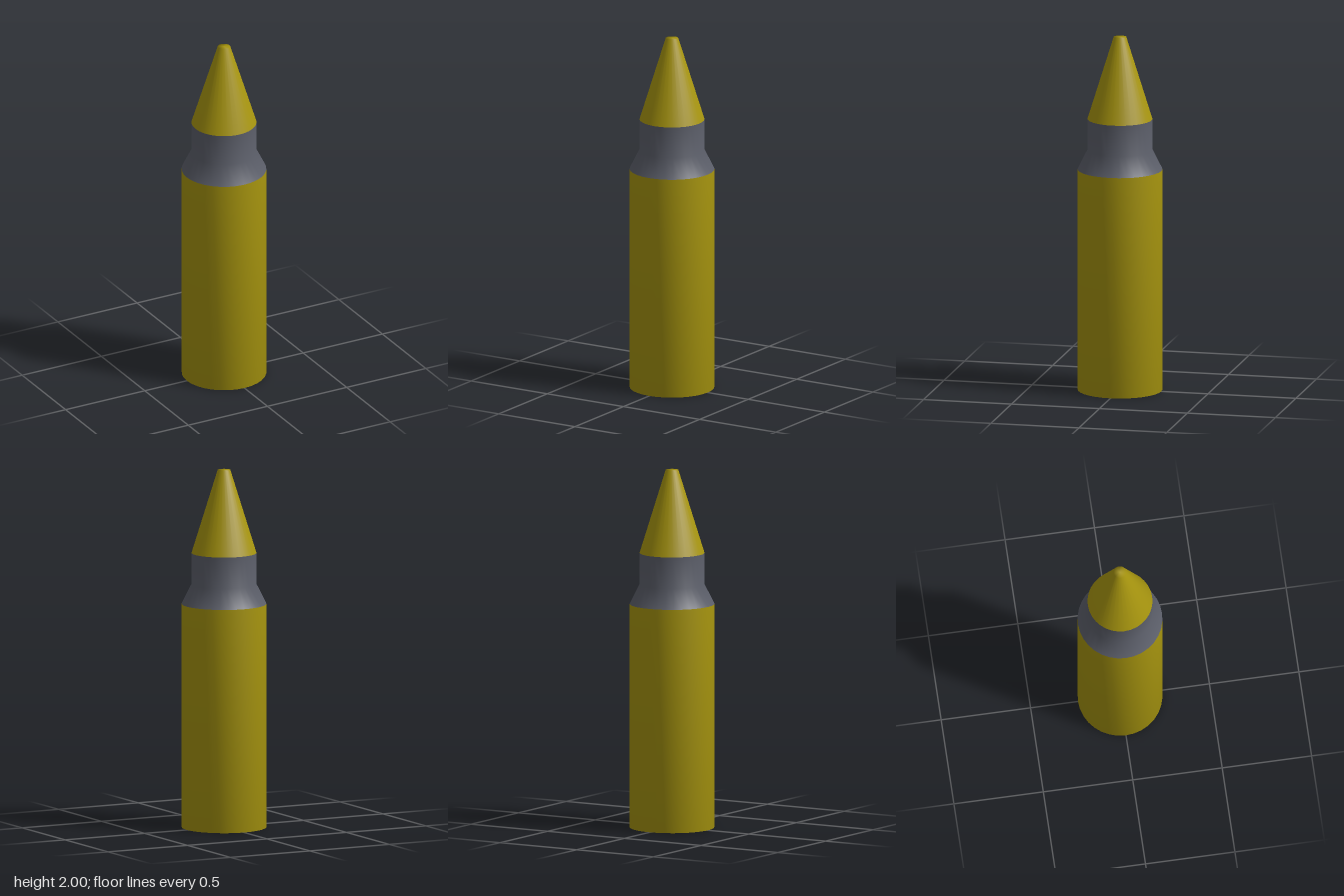
import * as THREE from 'three';

const SIDES = 32;
const brass = new THREE.MeshStandardMaterial({ color: 0xa8960f });
const steel = new THREE.MeshStandardMaterial({ color: 0x5c5f6a });

// Smooth turned part from [radius, height] pairs, listed bottom to top
function turned(name, profile, material) {
  const points = profile.map(([r, y]) => new THREE.Vector2(r, y));
  const mesh = new THREE.Mesh(new THREE.LatheGeometry(points, SIDES), material);
  mesh.name = name;
  return mesh;
}

export function createModel() {
  const model = new THREE.Group();
  model.name = 'cartridge';
  model.add(
    // Straight case with closed base
    turned('caseBody', [[0, 0], [0.235, 0], [0.235, 1.25]], brass),
    // Tapered shoulder and straight neck
    turned('shoulderAndNeck', [[0.235, 1.25], [0.18, 1.36], [0.18, 1.535]], steel),
    // Conical tip with a small flat end
    turned('tip', [[0.18, 1.535], [0.035, 2], [0, 2]], brass),
  );
  return model;
}
